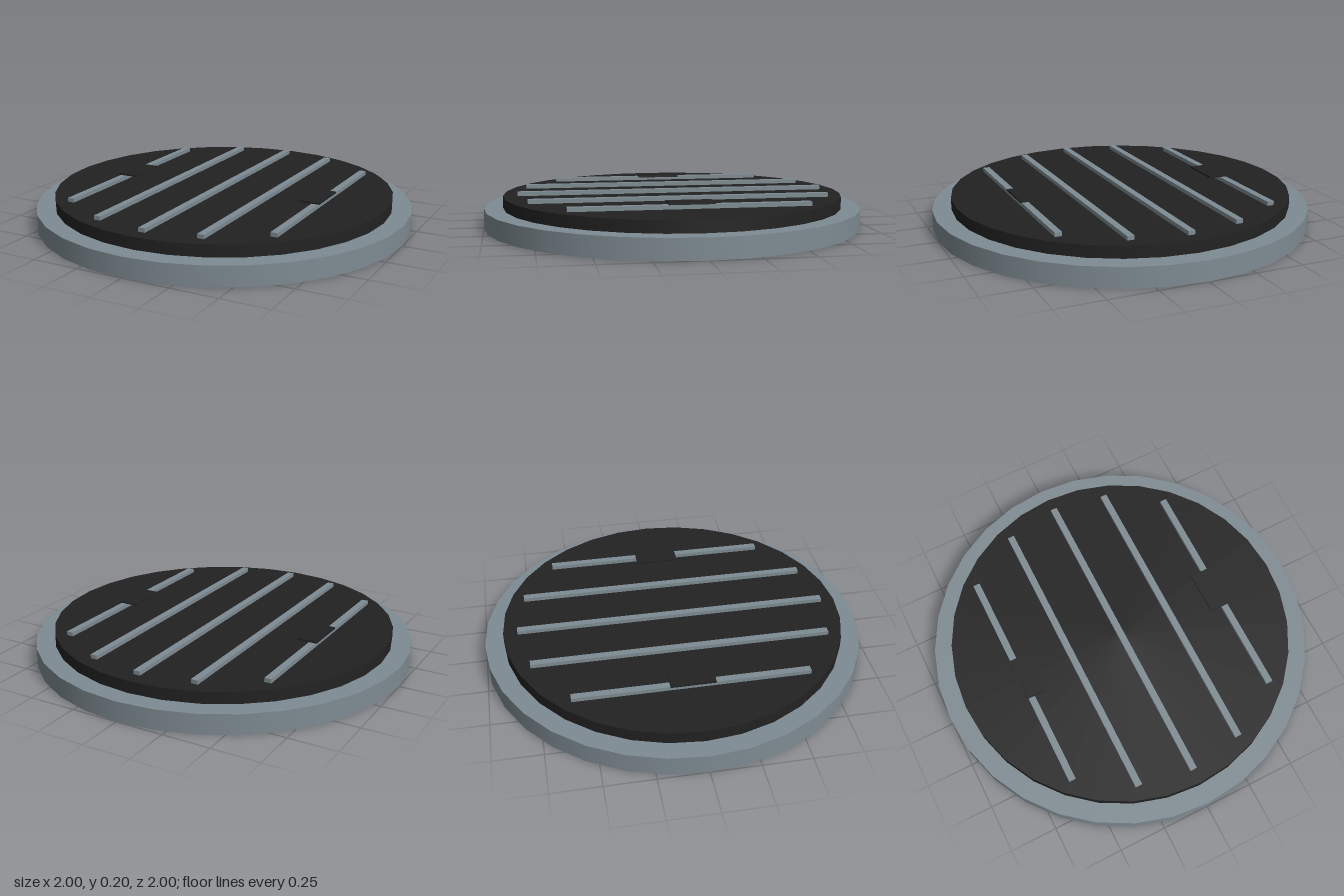
import * as THREE from 'three';

export function createModel() {
  const group = new THREE.Group();
  const steel = new THREE.MeshStandardMaterial({ color: 0x7f8c93 });
  steel.name = 'blue grey steel';
  const black = new THREE.MeshStandardMaterial({ color: 0x222222 });
  black.name = 'black';

  const add = (name, geometry, material, x, y, z) => {
    const mesh = new THREE.Mesh(geometry, material);
    mesh.name = name;
    mesh.position.set(x, y, z);
    group.add(mesh);
  };

  // Stacked discs: wide rim below, dark cover above
  add('baseDisc', new THREE.CylinderGeometry(1, 1, 0.104, 32), steel, 0, 0.052, 0);
  add('coverDisc', new THREE.CylinderGeometry(0.9, 0.9, 0.064, 32), black, 0, 0.134, 0);

  // Raised ribs, shorter towards the sides
  const ribLengths = [1.65, 1.55, 1.195];
  for (let i = -2; i <= 2; i++) {
    const length = ribLengths[Math.abs(i)];
    add('rib', new THREE.BoxGeometry(0.036, 0.03, length), steel, i * 0.286, 0.172, 0);
  }

  // Thin handle plates resting on the outer ribs
  for (const side of [-1, 1]) {
    add('handlePlate', new THREE.BoxGeometry(0.108, 0.009, 0.228), black, side * 0.544, 0.1925, 0);
  }
  return group;
}
